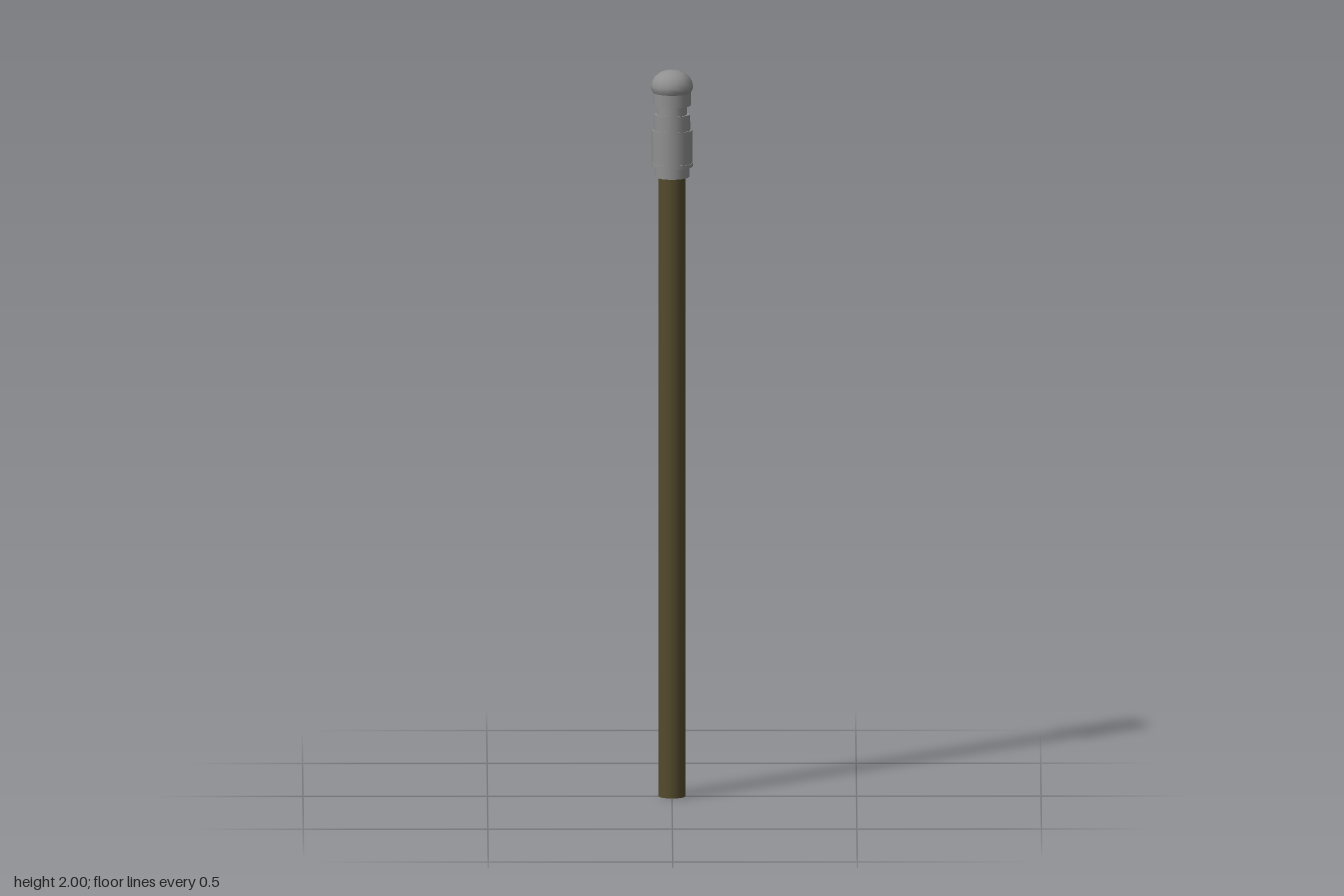
import * as THREE from 'three';

const SIDES = 14;

export function createModel() {
  const model = new THREE.Group();
  model.name = 'cappedStaff';

  const metal = new THREE.MeshStandardMaterial({ color: 0x909090 });
  metal.name = 'grey metal';
  const wood = new THREE.MeshStandardMaterial({ color: 0x544a2c });
  wood.name = 'dark wood';
  const chip = new THREE.MeshStandardMaterial({ color: 0xa0a5a0, side: THREE.DoubleSide });
  chip.name = 'pale inlay';

  function add(name, geometry, material) {
    const mesh = new THREE.Mesh(geometry, material);
    mesh.name = name;
    model.add(mesh);
    return mesh;
  }

  // Round section between two heights, with a corner on the x axis
  function section(name, y0, y1, r0, r1, material, depth0 = r0, depth1 = r1) {
    const g = new THREE.CylinderGeometry(1, 1, y1 - y0, SIDES);
    g.rotateY(Math.PI / 2);
    g.translate(0, (y0 + y1) / 2, 0);
    const p = g.attributes.position;
    const mid = (y0 + y1) / 2;
    for (let i = 0; i < p.count; i++) {
      const top = p.getY(i) > mid;
      p.setX(i, p.getX(i) * (top ? r1 : r0));
      p.setZ(i, p.getZ(i) * (top ? depth1 : depth0));
    }
    return add(name, g, material);
  }

  // Shaft
  section('shaft', 0, 1.72, 0.036, 0.036, wood);

  // Metal head, from the lower collar up
  section('lowerCollar', 1.706, 1.737, 0.047, 0.047, metal);
  section('flange', 1.735, 1.745, 0.057, 0.057, metal);
  section('socket', 1.745, 1.835, 0.055, 0.055, metal, 0.054, 0.048);
  section('shoulder', 1.835, 1.878, 0.05, 0.049, metal, 0.047, 0.043);
  section('neck', 1.878, 1.906, 0.041, 0.041, metal);
  section('capBand', 1.903, 1.943, 0.051, 0.051, metal);

  // Rounded cap
  const profile = [[0.051, 1.938], [0.056, 1.947], [0.057, 1.957], [0.054, 1.970],
    [0.046, 1.983], [0.033, 1.993], [0.017, 1.9985], [0, 2]]
    .map(([r, y]) => new THREE.Vector2(r, y));
  const dome = new THREE.LatheGeometry(profile, SIDES);
  dome.rotateY(Math.PI / 2);
  add('domeCap', dome, metal);

  // Thin almond-shaped inlay low on the shaft
  const almond = new THREE.Shape();
  almond.moveTo(0, -0.048);
  almond.quadraticCurveTo(0.013, 0, 0, 0.048);
  almond.quadraticCurveTo(-0.007, 0, 0, -0.048);
  const inlay = add('shaftInlay', new THREE.ShapeGeometry(almond, 8), chip);
  inlay.rotation.y = Math.PI / 2;
  inlay.position.set(0.0362, 0.23, -0.006);

  return model;
}
